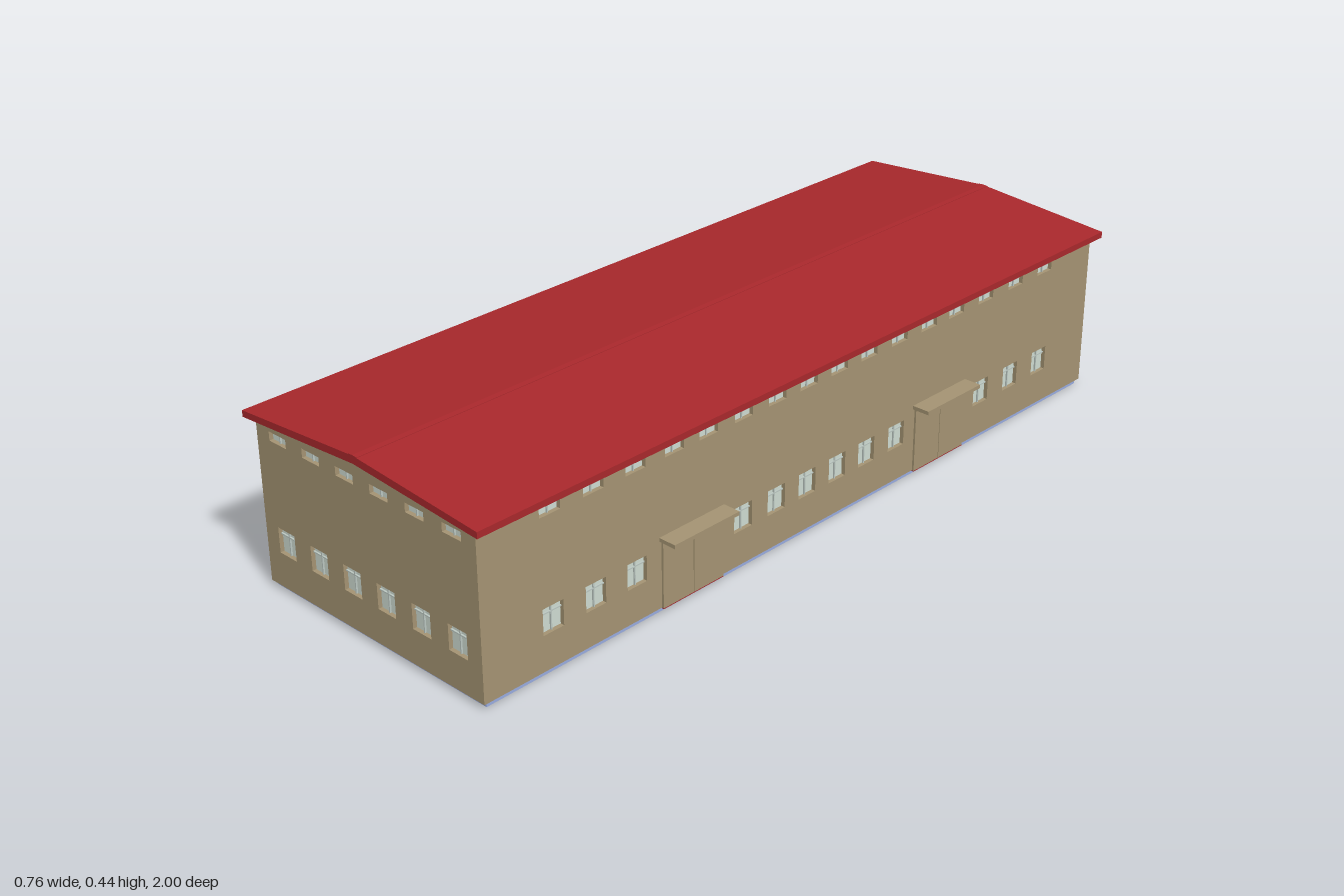
import * as THREE from 'three';

const mat = (color, side = THREE.FrontSide) =>
  new THREE.MeshStandardMaterial({ color, flatShading: true, side });
const WALL = mat(0xa59473), ROOF = mat(0xa9282c), GLASS = mat(0xcfdcd2);
const FRAME = mat(0xbcc8c2), PLINTH = mat(0x9aacdf);

const W = 0.337, L = 0.985, BASE = 0.012, EAVE = 0.396, RIDGE = 0.419, T = 0.014;
const LOW = [0.095, 0.155], HIGH = [0.357, 0.378], WIN = 0.055;

function add(parent, name, geometry, material, x = 0, y = 0, z = 0) {
  const mesh = new THREE.Mesh(geometry, material);
  mesh.name = name;
  mesh.position.set(x, y, z);
  parent.add(mesh);
  return mesh;
}

function box(parent, name, material, [x0, x1], [y0, y1], [z0, z1]) {
  return add(parent, name, new THREE.BoxGeometry(x1 - x0, y1 - y0, z1 - z0), material,
    (x0 + x1) / 2, (y0 + y1) / 2, (z0 + z1) / 2);
}

function polygon(points) {
  return new THREE.Shape(points.map(([x, y]) => new THREE.Vector2(x, y)));
}

// Wall facing local +z, outer face at z = 0, with window openings
function makeWall(name, half, peak, lowCentres, highCentres) {
  const group = new THREE.Group();
  group.name = name;
  const shape = polygon([[-half, BASE], [half, BASE], [half, EAVE], [0, peak], [-half, EAVE]]);
  const windows = [
    ...lowCentres.map((c) => [c, LOW]),
    ...highCentres.map((c) => [c, HIGH]),
  ];
  for (const [c, [y0, y1]] of windows) {
    const a = c - WIN / 2, b = c + WIN / 2;
    shape.holes.push(polygon([[a, y0], [a, y1], [b, y1], [b, y0]]));
    const win = new THREE.Group();
    win.name = 'window';
    group.add(win);
    box(win, 'glass', GLASS, [a, b], [y0, y1], [-T, -T + 0.004]);
    // Mullion, and a transom on the tall windows
    box(win, 'mullion', FRAME, [c - 0.0015, c + 0.0015], [y0, y1], [-T + 0.004, -T + 0.008]);
    if (y1 - y0 > 0.04) {
      const t = y0 + (y1 - y0) * 0.72;
      box(win, 'transom', FRAME, [a, b], [t - 0.0015, t + 0.0015], [-T + 0.004, -T + 0.008]);
    }
  }
  const geometry = new THREE.ExtrudeGeometry(shape, { depth: T, bevelEnabled: false });
  add(group, 'wallPanel', geometry, WALL, 0, 0, -T);
  return group;
}

// Double door with a flat canopy, on a wall facing local +z
function makeDoor(centre) {
  const door = new THREE.Group();
  door.name = 'entrance';
  const half = 0.09;
  for (const s of [-1, 1]) {
    const inner = centre + s * 0.001, outer = centre + s * half;
    box(door, 'doorLeaf', WALL, [Math.min(inner, outer), Math.max(inner, outer)],
      [BASE, 0.172], [0, 0.005]);
  }
  box(door, 'canopy', WALL, [centre - 0.096, centre + 0.096], [0.171, 0.18], [0, 0.044]);
  box(door, 'threshold', ROOF, [centre - half, centre + half], [0.01, BASE], [-0.005, 0.005]);
  return door;
}

export function createModel() {
  const model = new THREE.Group();
  model.name = 'hall';
  const mirrored = (list) => list.flatMap((v) => [-v, v]);

  box(model, 'plinth', PLINTH, [-0.331, 0.331], [0, BASE + 0.001], [-0.975, 0.975]);
  box(model, 'wallUnderside', WALL, [-W, W], [BASE, BASE + 0.002], [-L, L]);

  // Gable walls
  const gable = mirrored([0.053, 0.16, 0.268]);
  for (const s of [1, -1]) {
    const wall = makeWall(s > 0 ? 'frontWall' : 'backWall', W, RIDGE, gable, gable);
    wall.position.z = s * L;
    wall.rotation.y = s > 0 ? 0 : Math.PI;
    model.add(wall);
  }

  // Long walls with two entrances each
  const low = mirrored([0.05, 0.15, 0.255, 0.57, 0.685, 0.8]);
  const high = mirrored([0.05, 0.15, 0.255, 0.36, 0.46, 0.57, 0.685, 0.8]);
  for (const s of [1, -1]) {
    const wall = makeWall(s > 0 ? 'leftWall' : 'rightWall', L - T, EAVE, low, high);
    wall.position.x = s * W;
    wall.rotation.y = s * Math.PI / 2;
    wall.add(makeDoor(-0.41), makeDoor(0.41));
    model.add(wall);
  }

  // Pitched roof slab and its ridge strip
  const slab = polygon([[-0.36, 0.394], [0, 0.418], [0.36, 0.394],
    [0.36, 0.409], [0, 0.436], [-0.36, 0.409]]);
  add(model, 'roof', new THREE.ExtrudeGeometry(slab, { depth: 2, bevelEnabled: false }),
    ROOF, 0, 0, -1);
  const strip = polygon([[-0.013, 0.434], [0.013, 0.434], [0.013, 0.4362], [0, 0.4372],
    [-0.013, 0.4362]]);
  add(model, 'ridgeCap', new THREE.ExtrudeGeometry(strip, { depth: 2, bevelEnabled: false }),
    ROOF, 0, 0, -1);

  return model;
}
